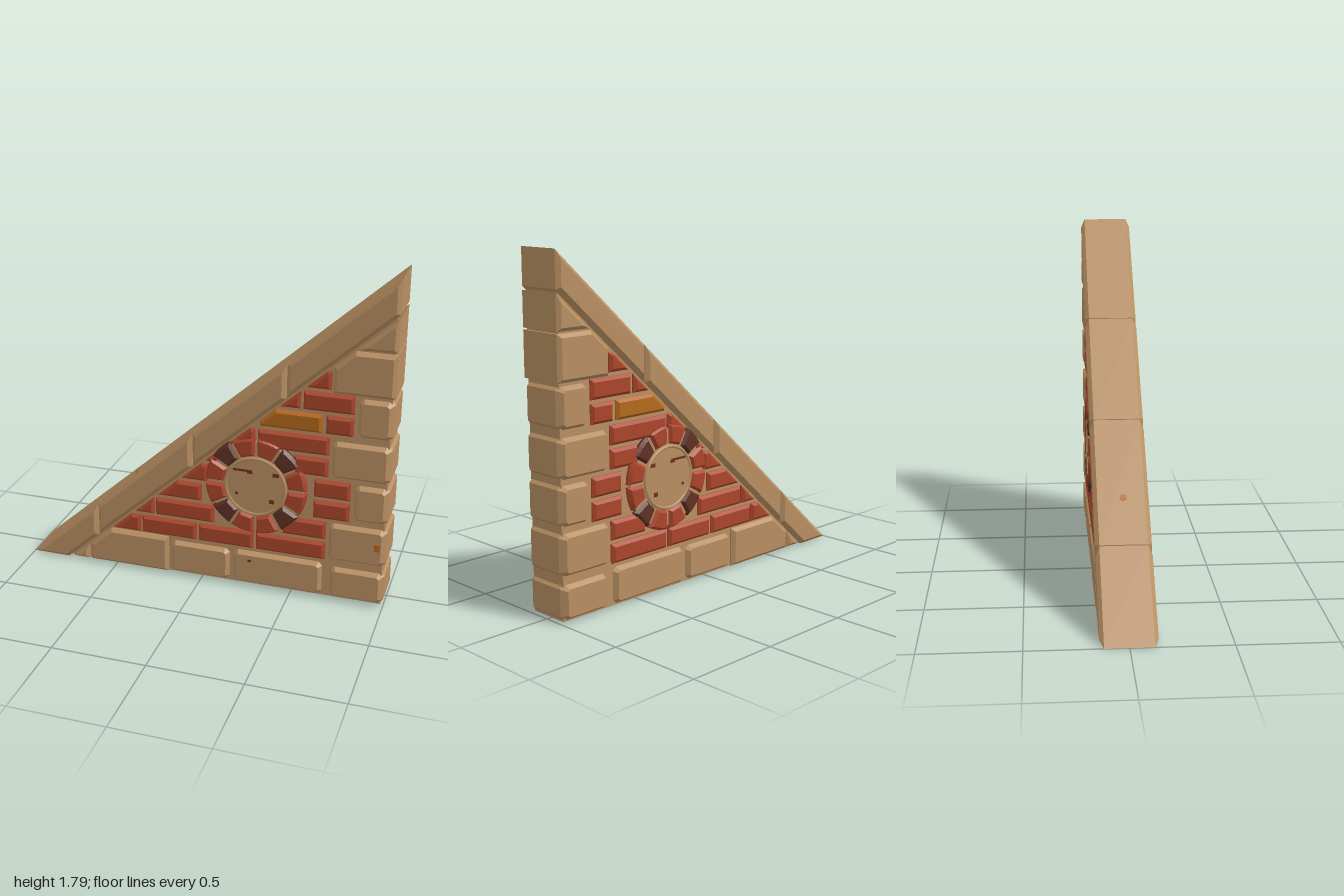
import * as THREE from 'three';
import { ConvexGeometry } from 'three/addons/geometries/ConvexGeometry.js';

const mat = (name, color) => {
  const m = new THREE.MeshStandardMaterial({ color });
  m.name = name;
  return m;
};

// Keep the part of a convex outline where a*x + b*y <= c
function clip(pts, a, b, c) {
  const out = [];
  pts.forEach((p, i) => {
    const q = pts[(i + 1) % pts.length];
    const dp = a * p[0] + b * p[1] - c, dq = a * q[0] + b * q[1] - c;
    if (dp <= 0) out.push(p);
    if (dp * dq < 0) {
      const t = dp / (dp - dq);
      out.push([p[0] + (q[0] - p[0]) * t, p[1] + (q[1] - p[1]) * t]);
    }
  });
  return out;
}

// Move every edge of a counter-clockwise outline inwards by d
function inset(pts, d) {
  const n = pts.length;
  return pts.map((p, i) => {
    const a = pts[(i + n - 1) % n], b = pts[(i + 1) % n];
    const normal = (u, v) => {
      const l = Math.hypot(v[0] - u[0], v[1] - u[1]);
      return [-(v[1] - u[1]) / l, (v[0] - u[0]) / l];
    };
    const m = normal(a, p), k = normal(p, b);
    const s = d / (1 + m[0] * k[0] + m[1] * k[1]);
    return [p[0] + (m[0] + k[0]) * s, p[1] + (m[1] + k[1]) * s];
  });
}

// Convex block through the wall, bevelled on front and back
function block(pts, depth, bevel, bevelZ = bevel) {
  const v = [];
  for (const s of [-1, 1]) {
    pts.forEach(p => v.push(new THREE.Vector3(p[0], p[1], s * (depth - bevelZ))));
    inset(pts, bevel).forEach(p => v.push(new THREE.Vector3(p[0], p[1], s * depth)));
  }
  return new ConvexGeometry(v);
}

// Rectangle with optional cut corners, trimmed under the sloping coping
function outline(x0, x1, y0, y1, c = 0) {
  const r = c
    ? [[x0 + c, y0], [x1 - c, y0], [x1, y0 + c], [x1, y1 - c], [x1 - c, y1], [x0 + c, y1], [x0, y1 - c], [x0, y0 + c]]
    : [[x0, y0], [x1, y0], [x1, y1], [x0, y1]];
  return clip(r, -0.9, 1, 0.692);
}

export function createModel() {
  const group = new THREE.Group();
  const stone = mat('sandstone', 0xb88f62);
  const red = mat('red brick', 0xab452b);
  const dark = mat('dark brick', 0x5f3023);
  const orange = mat('orange brick', 0xb5691c);
  const stain = mat('rust stain', 0x74301f);
  const add = (name, geo, material) => {
    const m = new THREE.Mesh(geo, material);
    m.name = name;
    group.add(m);
    return m;
  };

  // Mortar core
  add('mortarCore', block([[-0.79, 0.01], [0.985, 0.01], [0.985, 1.6]], 0.113, 0.002), stone);

  // Sloping coping, split by upright joints
  const coping = [[-1, 0], [-0.79, 0], [1, 1.61], [1, 1.795]];
  const joints = [-1.01, -0.6, -0.05, 0.45, 1.01];
  for (let i = 0; i < 4; i++) {
    const part = clip(clip(coping, -1, 0, -joints[i] - 0.002), 1, 0, joints[i + 1] - 0.002);
    add('copingStone', block(part, 0.141, 0.02), stone);
  }

  // Smooth cut stones along the base and at the top of the upright edge
  [[-0.8, -0.66, 0.01, 0.2], [-0.65, -0.19, 0.01, 0.22],
    [0.69, 1, 1.175, 1.405], [0.8, 1, 1.415, 1.61]].forEach(([a, b, c, d]) =>
    add('cutStone', block(outline(a, b, c, d), 0.14, 0.018), stone));

  // Worn stones of the base and corner
  [[-0.18, 0.165, 0.01, 0.21], [0.175, 0.675, 0.01, 0.215], [0.705, 0.998, 0.01, 0.2],
    [0.69, 1, 0.23, 0.455], [0.815, 1, 0.475, 0.69], [0.69, 1, 0.705, 0.92],
    [0.815, 1, 0.945, 1.165]].forEach(([a, b, c, d]) =>
    add('wornStone', block(outline(a, b, c, d, 0.025), 0.138, 0.025, 0.035), stone));

  // Brick courses: bottom, top, then start and end of each brick
  [[0.23, 0.33, [-0.6, -0.35], [-0.34, -0.03], [-0.015, 0.29], [0.305, 0.68]],
    [0.35, 0.45, [-0.45, -0.27], [-0.26, 0.07], [0.45, 0.68]],
    [0.47, 0.57, [-0.3, 0], [0.61, 0.8]],
    [0.59, 0.69, [-0.15, 0.035], [0.61, 0.8]],
    [0.71, 0.81, [-0.02, 0.1], [0.5, 0.68]],
    [0.83, 0.93, [0.1, 0.29], [0.305, 0.68]],
    [0.95, 1.05, [0.315, 0.64], [0.66, 0.8]],
    [1.07, 1.17, [0.37, 0.525], [0.54, 0.8]],
    [1.19, 1.285, [0.5, 0.68]]].forEach(([y0, y1, ...row]) =>
    row.forEach(([x0, x1]) => {
      const isOrange = x0 === 0.315;
      add(isOrange ? 'orangeBrick' : 'brick', block(outline(x0, x1, y0, y1), 0.134, 0.015), isOrange ? orange : red);
    }));

  // Round medallion: ring of twelve wedge bricks around a stone disc
  const cx = 0.3, cy = 0.605;
  const round = (name, r, depth) => {
    const g = new THREE.CylinderGeometry(r, r, depth * 2, 40).rotateX(Math.PI / 2);
    add(name, g, stone).position.set(cx, cy, 0);
  };
  round('ringBed', 0.255, 0.128);
  round('medallionDisc', 0.155, 0.136);
  for (const s of [-1, 1]) {
    add('medallionRim', new THREE.TorusGeometry(0.16, 0.01, 6, 40), stone).position.set(cx, cy, s * 0.133);
  }
  for (let i = 0; i < 12; i++) {
    const a0 = i * Math.PI / 6, pts = [];
    const at = (r, a) => pts.push([cx + r * Math.cos(a), cy + r * Math.sin(a)]);
    at(0.175, a0 + Math.PI / 6 - 0.035);
    at(0.175, a0 + 0.035);
    for (let k = 0; k <= 4; k++) at(0.275, a0 + 0.025 + k / 4 * (Math.PI / 6 - 0.05));
    add('ringBrick', block(pts, 0.145, 0.014, 0.018), i % 3 === 1 ? dark : red);
  }

  // Stains on the disc, front and back, and a few on the stones
  const spot = (name, x, y, z, w, h, d, material) =>
    add(name, new THREE.BoxGeometry(w, h, d), material).position.set(x, y, z);
  for (const s of [-1, 1]) {
    [[0.23, 0.692, 0.1, 0.012], [0.27, 0.685, 0.03, 0.016], [0.41, 0.685, 0.035, 0.02],
      [0.39, 0.53, 0.025, 0.022], [0.2, 0.555, 0.016, 0.014]].forEach(([x, y, w, h]) =>
      spot('discStain', x, y, s * 0.135, w, h, 0.006, stain));
  }
  spot('stoneStain', 0.275, 0.16, 0.137, 0.02, 0.012, 0.006, stain);
  spot('stoneStain', 0.915, 0.895, 0.125, 0.04, 0.01, 0.008, stain);
  spot('cornerStain', 0.955, 0.35, 0.136, 0.03, 0.04, 0.008, orange);
  const slope = new THREE.Mesh(new THREE.CylinderGeometry(0.018, 0.018, 0.006, 8), orange);
  slope.name = 'copingStain';
  slope.position.set(-0.4, 0.539, 0.01);
  slope.rotation.z = Math.atan(0.8975);
  group.add(slope);
  return group;
}
